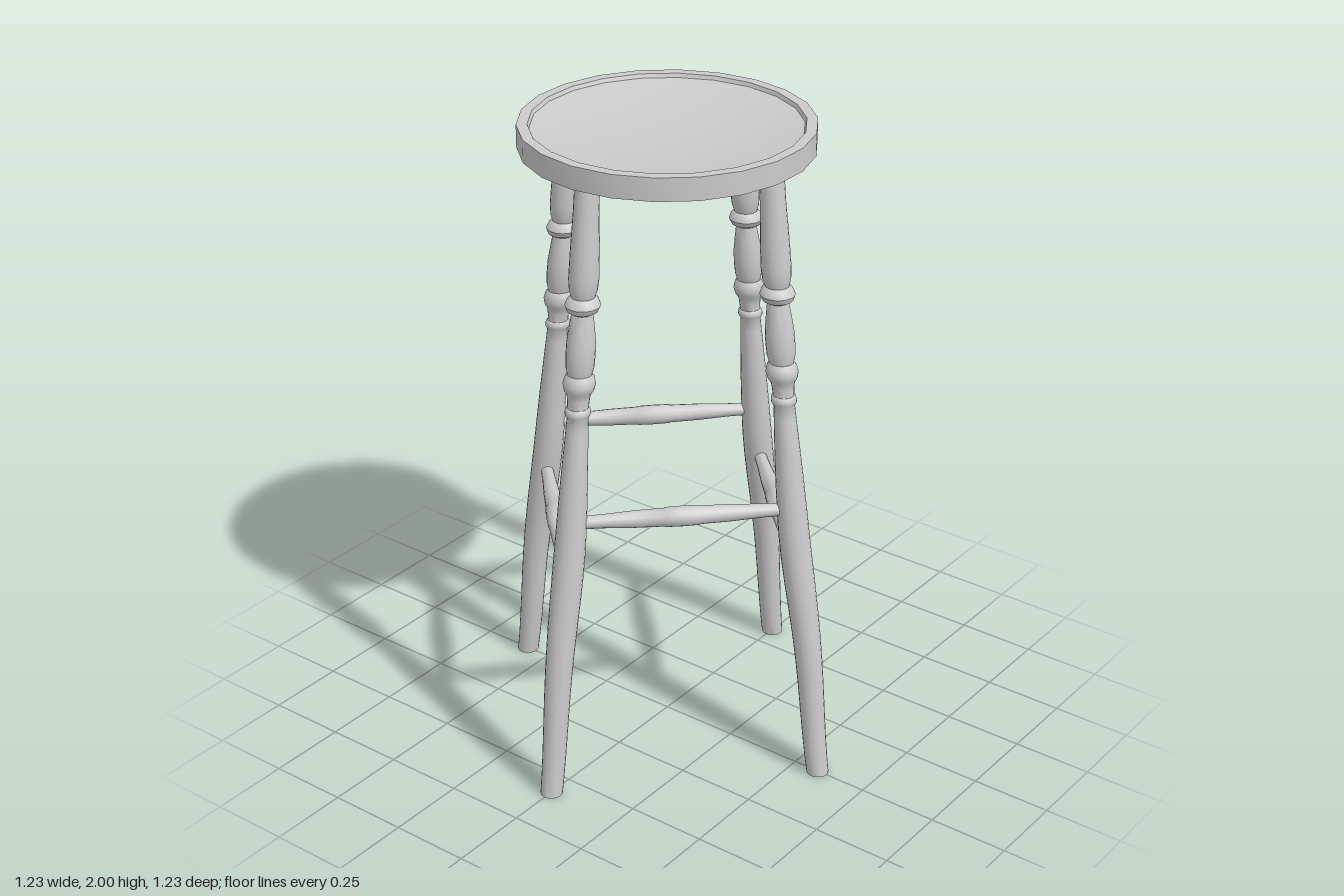
import * as THREE from 'three';
import { toCreasedNormals } from 'three/addons/utils/BufferGeometryUtils.js';

const material = new THREE.MeshStandardMaterial({ color: 0xcccccc });
const vec = (list) => list.map(([x, y]) => new THREE.Vector2(x, y));

// Distance of a leg's centre line from the stool's axis at height y
function legOffset(y) {
  const flare = y < 0.85 ? 0.013 * Math.sin((Math.PI * y) / 0.85) ** 2 : 0;
  return 0.583 - 0.155 * y + 0.022 * y * y + flare;
}

function turned(name, points, segments, crease = 0.6) {
  const geometry = new THREE.LatheGeometry(points, segments);
  const mesh = new THREE.Mesh(toCreasedNormals(geometry, crease), material);
  mesh.name = name;
  return mesh;
}

// Round seat: raised rim, dished top, shallow recess underneath
function createSeat() {
  return turned('seat', vec([
    [0, 1.945], [0.395, 1.945], [0.4, 1.93], [0.432, 1.93], [0.432, 2],
    [0.4, 2], [0.395, 1.988], [0.34, 1.979], [0.26, 1.969],
    [0.17, 1.961], [0.08, 1.957], [0, 1.956],
  ]), 22);
}

// Turned leg, bent outwards along its centre line
function createLegGeometry() {
  const shaft = new THREE.SplineCurve(vec([
    [0.034, 0], [0.04, 0.35], [0.047, 0.72], [0.042, 0.98], [0.031, 1.225],
  ])).getPoints(18);
  const turning = vec([
    [0.037, 1.235], [0.038, 1.243], [0.036, 1.252], [0.031, 1.257], // ring
    [0.033, 1.285], [0.036, 1.3],
    [0.044, 1.312], [0.048, 1.33], [0.044, 1.348], [0.036, 1.36], // lower bead
    [0.041, 1.38], [0.043, 1.42], [0.042, 1.46], [0.036, 1.51], [0.031, 1.545],
    [0.045, 1.553], [0.052, 1.57], [0.045, 1.587], [0.035, 1.595], // upper bead
    [0.041, 1.615], [0.044, 1.65], [0.042, 1.73], [0.037, 1.85], [0.035, 1.95],
  ]);
  const geometry = new THREE.LatheGeometry([new THREE.Vector2(0, 0), ...shaft, ...turning], 20);
  const position = geometry.attributes.position;
  for (let i = 0; i < position.count; i++) {
    position.setX(i, position.getX(i) + legOffset(position.getY(i)));
  }
  return toCreasedNormals(geometry, 0.7);
}

// Stretcher between two neighbouring legs, thicker towards the middle
function createStretcher(y, angle) {
  const r = legOffset(y);
  const length = r * Math.SQRT2;
  const half = [[0.019, -0.5], [0.021, -0.36], [0.026, -0.22], [0.028, -0.08], [0.03, -0.075], [0.031, 0]];
  const mirrored = half.slice(0, -1).reverse().map(([x, t]) => [x, -t]);
  const points = vec([[0, -0.5], ...half, ...mirrored, [0, 0.5]].map(([x, t]) => [x, t * length]));
  const mesh = turned('stretcher', points, 14, 0.8);
  const end = (a) => new THREE.Vector3(Math.cos(a) * r, y, Math.sin(a) * r);
  const from = end(angle), to = end(angle + Math.PI / 2);
  mesh.position.addVectors(from, to).multiplyScalar(0.5);
  mesh.quaternion.setFromUnitVectors(new THREE.Vector3(0, 1, 0), to.sub(from).normalize());
  return mesh;
}

export function createModel() {
  const stool = new THREE.Group();
  stool.name = 'stool';
  stool.add(createSeat());

  const legGeometry = createLegGeometry();
  const legNames = ['leftLeg', 'backLeg', 'rightLeg', 'frontLeg'];
  legNames.forEach((name, i) => {
    const leg = new THREE.Mesh(legGeometry, material);
    leg.name = name;
    leg.rotation.y = (i * Math.PI) / 2;
    stool.add(leg);
    // Opposite stretchers share a height; neighbouring ones alternate
    stool.add(createStretcher(i % 2 ? 0.725 : 0.89, (i * Math.PI) / 2));
  });
  return stool;
}
